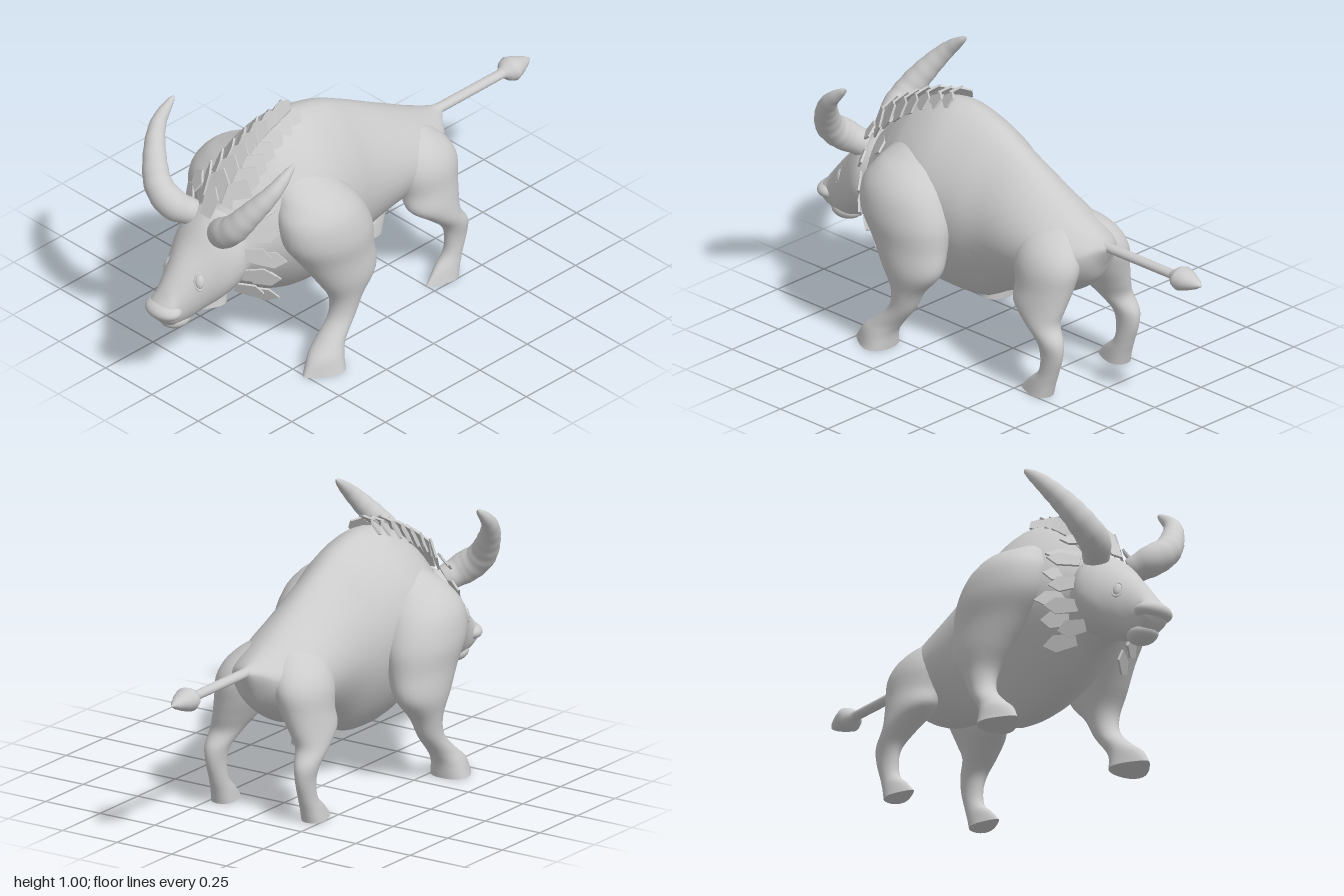
import * as THREE from 'three';

const mat = new THREE.MeshStandardMaterial({ color: 0xcccccc, side: THREE.DoubleSide });
const V = (x, y, z) => new THREE.Vector3(x, y, z);

function add(parent, name, geo) {
  const m = new THREE.Mesh(geo, mat);
  m.name = name;
  parent.add(m);
  return m;
}

// Skin a list of equal-sized closed rings, with a flat cap at each end
function loft(rings) {
  const n = rings[0].length, pos = [], idx = [];
  for (const r of rings) for (const p of r) pos.push(p.x, p.y, p.z);
  for (let i = 0; i < rings.length - 1; i++) {
    for (let j = 0; j < n; j++) {
      const k = (j + 1) % n, a = i * n + j, b = i * n + k;
      idx.push(a, a + n, b, b, a + n, b + n);
    }
  }
  for (const end of [0, rings.length - 1]) {
    const base = pos.length / 3, c = V(0, 0, 0);
    for (const p of rings[end]) { pos.push(p.x, p.y, p.z); c.addScaledVector(p, 1 / n); }
    pos.push(c.x, c.y, c.z);
    for (let j = 0; j < n; j++) {
      const k = (j + 1) % n;
      if (end === 0) idx.push(base + n, base + j, base + k);
      else idx.push(base + n, base + k, base + j);
    }
  }
  const g = new THREE.BufferGeometry();
  g.setAttribute('position', new THREE.Float32BufferAttribute(pos, 3));
  g.setIndex(idx);
  g.computeVertexNormals();
  return g;
}

// Smoothly resample rows of five numbers
function smooth(rows, steps = 5) {
  const c1 = new THREE.CatmullRomCurve3(rows.map(r => V(r[0], r[1], r[2])), false, 'catmullrom');
  const c2 = new THREE.CatmullRomCurve3(rows.map(r => V(r[3], r[4], 0)), false, 'catmullrom');
  const out = [], n = (rows.length - 1) * steps;
  for (let i = 0; i <= n; i++) {
    const a = c1.getPoint(i / n), b = c2.getPoint(i / n);
    out.push([a.x, a.y, a.z, b.x, b.y]);
  }
  return out;
}

const around = (n, f) => Array.from({ length: n }, (_, j) => {
  const t = j / n * Math.PI * 2;
  return f(Math.cos(t), Math.sin(t));
});

// Front-to-back trunk: rows of z, height of widest point, half width, top, bottom;
// peak narrows the section towards its spine and keel
const trunk = (rows, peak) => loft(smooth(rows).map(([z, yc, rx, top, bot]) =>
  around(40, (c, s) => V(rx * c * (1 - peak * s * s), yc + s * (s > 0 ? top - yc : yc - bot), z))));

// Upright limb: rows of y, x, z, half width, half depth; the hoof narrows to the toe
const limb = (rows, side) => loft(smooth(rows).map(([y, x, z, rx, rz]) => {
  const taper = 0.55 * Math.max(0, 1 - y / 0.1);
  return around(28, (c, s) => V(side * x + rx * c * (1 - taper * s), y, z + rz * s));
}));

// Curved horn with faint growth ridges
function horn(side) {
  const path = new THREE.CatmullRomCurve3([
    V(0.085, 0.65, 0.7), V(0.135, 0.688, 0.755), V(0.2, 0.74, 0.765),
    V(0.255, 0.815, 0.735), V(0.315, 0.92, 0.66), V(0.325, 1.003, 0.565),
  ].map(p => V(p.x * side, p.y, p.z)));
  const n = 40, f = path.computeFrenetFrames(n);
  const rings = [];
  for (let i = 0; i <= n; i++) {
    const t = i / n, p = path.getPointAt(t);
    const r = 0.068 * Math.pow(1 - t, 0.55) * Math.min(1, 0.72 + 1.6 * t)
      * (1 + 0.02 * Math.sin(t * 60)) + 0.001;
    rings.push(around(20, (c, s) => p.clone()
      .addScaledVector(f.normals[i], r * c).addScaledVector(f.binormals[i], -r * s)));
  }
  return loft(rings);
}

// Pointed flat plate with its base at p, its tip along dir and its face towards out
function plate(parent, p, dir, out, w, len) {
  const s = new THREE.Shape([[-0.36, 0], [0.36, 0], [0.5, 0.65], [0, 1], [-0.5, 0.65]]
    .map(([x, y]) => new THREE.Vector2(x * w, y * len)));
  const g = new THREE.ExtrudeGeometry(s, { depth: 0.008, bevelEnabled: false });
  const y = dir.clone().normalize(), x = y.clone().cross(out).normalize();
  const z = x.clone().cross(y);
  g.applyMatrix4(new THREE.Matrix4().makeBasis(x, y, z).setPosition(p));
  add(parent, 'manePlate', g);
}

function mane() {
  const g = new THREE.Group();
  g.name = 'mane';
  // Crest from the forehead over the hump
  const spine = new THREE.CatmullRomCurve3([
    V(0, 0.68, 0.715), V(0, 0.775, 0.635), V(0, 0.855, 0.535), V(0, 0.915, 0.435), V(0, 0.952, 0.34)]);
  const rows = 8;
  for (let i = 0; i < rows; i++) {
    const t = i / (rows - 1), p = spine.getPointAt(t), T = spine.getTangentAt(t);
    const up = V(0, -T.z, T.y);
    const w = i === 0 ? 0.07 : 0.11 - 0.04 * t, len = i === 0 ? 0.12 : 0.14 - 0.06 * t;
    for (const roll of i === 0 ? [0] : [-1, 0, 1]) {
      const a = roll * 0.8;
      const out = up.clone().multiplyScalar(Math.cos(a)).add(V(Math.sin(a), 0, 0));
      const base = p.clone().addScaledVector(up, roll ? -0.022 : 0).add(V(roll * (0.075 - 0.04 * t), 0, 0));
      plate(g, base, T.clone().addScaledVector(out, 0.22), out, w, len);
    }
  }
  // Ruff down both sides of the neck, in two staggered rows
  for (const side of [-1, 1]) {
    [[0.1, 0.74], [0.14, 0.64], [0.155, 0.55], [0.15, 0.455], [0.115, 0.385]].forEach(([x, y], i) => {
      for (const k of [0, 1]) {
        const dir = V(side * 0.75, (y - 0.56) * 0.7 + (i % 2 ? 0.1 : -0.08), -0.65);
        plate(g, V(side * (x - 0.01), y - k * 0.04, 0.66 - k * 0.055), dir,
          V(side * 0.65, (y - 0.5) * 3, 0.75), 0.066, 0.11 + 0.02 * ((i + k) % 2));
      }
    });
  }
  return g;
}

function ellipsoid(parent, name, p, r) {
  const m = add(parent, name, new THREE.SphereGeometry(1, 28, 18));
  m.position.set(...p);
  m.scale.set(...r);
  return m;
}

export function createModel() {
  const model = new THREE.Group();
  model.name = 'hornedBeast';

  add(model, 'body', trunk([
    [0.7, 0.52, 0.125, 0.66, 0.37], [0.6, 0.54, 0.165, 0.775, 0.33], [0.52, 0.57, 0.21, 0.85, 0.275],
    [0.42, 0.6, 0.248, 0.915, 0.22], [0.28, 0.61, 0.26, 0.953, 0.18], [0.12, 0.58, 0.232, 0.925, 0.187],
    [0, 0.55, 0.204, 0.87, 0.245], [-0.15, 0.53, 0.197, 0.785, 0.3], [-0.28, 0.52, 0.188, 0.71, 0.33],
    [-0.38, 0.53, 0.15, 0.655, 0.38], [-0.45, 0.55, 0.1, 0.622, 0.44], [-0.488, 0.573, 0.05, 0.61, 0.51],
    [-0.52, 0.587, 0.018, 0.605, 0.57]], 0.3));

  // Head with muzzle, chin and eyes
  const head = new THREE.Group();
  head.name = 'head';
  model.add(head);
  add(head, 'skull', trunk([
    [0.975, 0.365, 0.045, 0.39, 0.335], [0.95, 0.365, 0.064, 0.42, 0.305], [0.92, 0.37, 0.066, 0.46, 0.285],
    [0.86, 0.41, 0.086, 0.53, 0.28], [0.8, 0.45, 0.117, 0.59, 0.3], [0.74, 0.475, 0.15, 0.655, 0.325],
    [0.68, 0.505, 0.165, 0.695, 0.35], [0.62, 0.52, 0.15, 0.69, 0.365]], 0));
  ellipsoid(head, 'nose', [0, 0.365, 0.938], [0.081, 0.038, 0.06]);
  ellipsoid(head, 'chin', [0, 0.299, 0.875], [0.056, 0.038, 0.066]);
  for (const side of [-1, 1]) {
    const eye = new THREE.Group();
    eye.name = 'eye';
    eye.position.set(side * 0.088, 0.477, 0.832);
    eye.rotation.set(-0.3, side * 1.0, 0, 'YXZ');
    ellipsoid(eye, 'eyeball', [0, 0, 0], [0.018, 0.028, 0.012]);
    add(eye, 'eyelid', new THREE.TorusGeometry(0.021, 0.004, 10, 28)).scale.y = 1.55;
    head.add(eye);
    add(head, 'horn', horn(side));
  }
  model.add(mane());

  // Legs with flared hooves, running up into shoulders and haunches
  const front = [
    [0, 0.32, 0.42, 0.07, 0.09], [0.06, 0.315, 0.395, 0.063, 0.075], [0.11, 0.307, 0.35, 0.054, 0.06],
    [0.18, 0.3, 0.29, 0.05, 0.055], [0.26, 0.295, 0.265, 0.062, 0.072], [0.35, 0.285, 0.255, 0.09, 0.135],
    [0.45, 0.265, 0.285, 0.113, 0.17], [0.55, 0.25, 0.32, 0.137, 0.2], [0.65, 0.23, 0.345, 0.137, 0.183],
    [0.72, 0.19, 0.355, 0.125, 0.14], [0.76, 0.145, 0.36, 0.1, 0.11], [0.8, 0.09, 0.36, 0.08, 0.08]];
  const hind = [
    [0, 0.207, -0.325, 0.04, 0.076], [0.05, 0.205, -0.355, 0.038, 0.06], [0.1, 0.204, -0.39, 0.035, 0.043],
    [0.17, 0.205, -0.405, 0.036, 0.05], [0.23, 0.205, -0.395, 0.046, 0.06], [0.29, 0.195, -0.345, 0.062, 0.077],
    [0.35, 0.175, -0.312, 0.078, 0.118], [0.42, 0.152, -0.315, 0.09, 0.128], [0.5, 0.132, -0.31, 0.102, 0.145],
    [0.56, 0.11, -0.3, 0.1, 0.135], [0.61, 0.08, -0.28, 0.085, 0.11], [0.65, 0.05, -0.27, 0.05, 0.07]];
  for (const side of [-1, 1]) {
    add(model, 'frontLeg', limb(front, side));
    add(model, 'hindLeg', limb(hind, side));
  }

  // Straight tail ending in a pointed bulb
  const tail = add(model, 'tail', new THREE.LatheGeometry([
    [0.03, 0.47], [0.022, 0.52], [0.021, 0.84], [0.026, 0.855], [0.045, 0.872], [0.055, 0.895],
    [0.043, 0.93], [0.022, 0.972], [0.0001, 1]].map(([r, y]) => new THREE.Vector2(r, y)), 24));
  tail.rotation.x = -Math.PI / 2;
  tail.scale.z = 0.85;
  tail.position.y = 0.587;
  return model;
}
